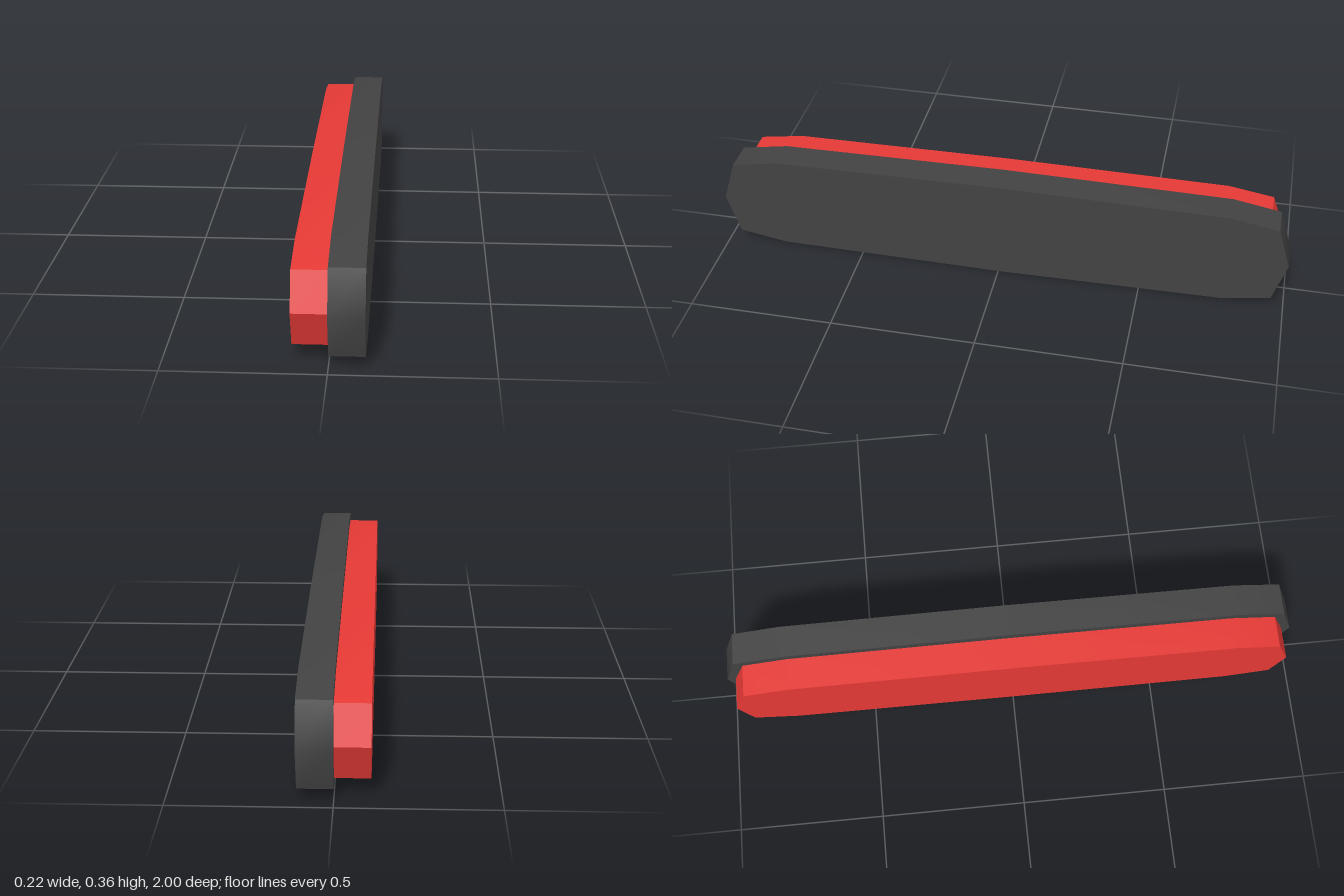
import * as THREE from 'three';
import { toCreasedNormals } from 'three/addons/utils/BufferGeometryUtils.js';

const darkGrey = new THREE.MeshStandardMaterial({ color: 0x424242 });
darkGrey.name = 'darkGrey';
const red = new THREE.MeshStandardMaterial({ color: 0xe53935 });
red.name = 'red';

const MID_Y = 0.1815;
const THICKNESS = 0.111;

// Long slab with tapered ends: quarter profile [z, half height], mirrored both ways
function slab(name, quarter, x, material) {
  const half = [...quarter.map(([z, h]) => [-z, h]), ...quarter.slice(0, -1).reverse()];
  const top = half.map(([z, h]) => new THREE.Vector2(z, h));
  const bottom = half.slice(1, -1).reverse().map(([z, h]) => new THREE.Vector2(z, -h));
  const extruded = new THREE.ExtrudeGeometry(new THREE.Shape([...top, ...bottom]), {
    depth: THICKNESS, bevelEnabled: false,
  });
  extruded.rotateY(Math.PI / 2);
  const geometry = toCreasedNormals(extruded, THREE.MathUtils.degToRad(38));
  const mesh = new THREE.Mesh(geometry, material);
  mesh.name = name;
  mesh.position.set(x, MID_Y, 0);
  return mesh;
}

export function createModel() {
  const model = new THREE.Group();
  model.name = 'layeredBar';
  // Larger dark slab on the left, slightly smaller red slab on the right
  model.add(
    slab('darkSlab', [[1, 0], [0.955, 0.1435], [0.79, 0.1725], [0, 0.1815]], 0, darkGrey),
    slab('redSlab', [[0.97, 0], [0.926, 0.1215], [0.77, 0.1465], [0, 0.153]], -THICKNESS, red),
  );
  return model;
}
